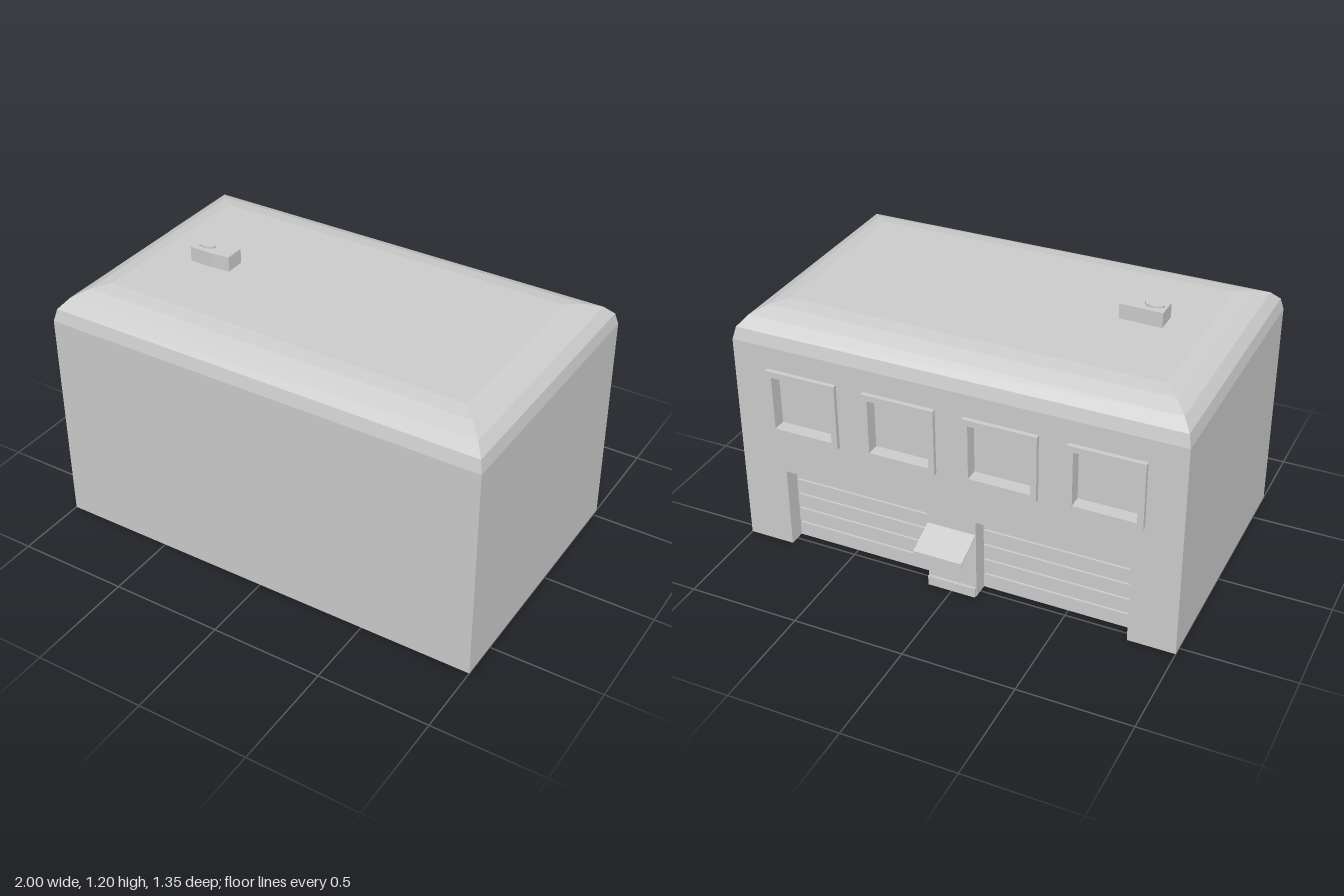
import * as THREE from 'three';

const WALL_H = 0.983, BACK = -0.54, FRONT = 0.675, FACADE_D = 0.085;
const WINDOWS = [-0.677, -0.226, 0.226, 0.677];
const WIN_W = 0.326, WIN_Y0 = 0.577, WIN_Y1 = 0.88, RIM = 0.027;
const DOOR_IN = 0.112, DOOR_OUT = 0.79, DOOR_H = 0.38;

const rect = (C, x0, y0, x1, y1) =>
  new C([[x0, y0], [x1, y0], [x1, y1], [x0, y1]].map(p => new THREE.Vector2(...p)));

export function createModel() {
  const group = new THREE.Group();
  const grey = new THREE.MeshStandardMaterial({ color: 0xcccccc });
  grey.name = 'plain grey';
  const add = (name, geometry) => {
    const mesh = new THREE.Mesh(geometry, grey);
    mesh.name = name;
    group.add(mesh);
    return mesh;
  };
  const box = (name, x0, x1, y0, y1, z0, z1) =>
    add(name, new THREE.BoxGeometry(x1 - x0, y1 - y0, z1 - z0))
      .position.set((x0 + x1) / 2, (y0 + y1) / 2, (z0 + z1) / 2);
  const extrude = (shape, depth) =>
    new THREE.ExtrudeGeometry(shape, { depth, bevelEnabled: false });

  // Main block behind the facade
  box('mainBlock', -1, 1, 0, WALL_H, BACK + FACADE_D, FRONT);

  // Facade with two door notches and four window openings
  const outline = [[-1, 0], [-DOOR_OUT, 0], [-DOOR_OUT, DOOR_H], [-DOOR_IN, DOOR_H], [-DOOR_IN, 0],
    [DOOR_IN, 0], [DOOR_IN, DOOR_H], [DOOR_OUT, DOOR_H], [DOOR_OUT, 0], [1, 0], [1, WALL_H], [-1, WALL_H]];
  const facade = new THREE.Shape(outline.map(p => new THREE.Vector2(...p)));
  const opening = x => rect(THREE.Path, x - WIN_W / 2 + RIM, WIN_Y0 + RIM, x + WIN_W / 2 - RIM, WIN_Y1 - RIM);
  WINDOWS.forEach(x => facade.holes.push(opening(x)));
  add('facade', extrude(facade, FACADE_D)).position.z = BACK;

  // Window frames and recessed panes
  for (const x of WINDOWS) {
    const frame = rect(THREE.Shape, x - WIN_W / 2, WIN_Y0, x + WIN_W / 2, WIN_Y1);
    frame.holes.push(opening(x));
    add('windowFrame', extrude(frame, 0.02)).position.z = BACK - 0.02;
    box('windowPane', x - WIN_W / 2 + RIM, x + WIN_W / 2 - RIM, WIN_Y0 + RIM, WIN_Y1 - RIM, BACK + 0.04, BACK + 0.048);
  }

  // Slatted garage doors, five panels each
  const pitch = DOOR_H / 5;
  for (const s of [-1, 1]) {
    const x = s * (DOOR_IN + DOOR_OUT) / 2, half = (DOOR_OUT - DOOR_IN) / 2;
    for (let i = 0; i < 5; i++) {
      box('garageDoorPanel', x - half, x + half, i * pitch, (i + 1) * pitch - (i < 4 ? 0.009 : 0),
        BACK + 0.075, BACK + FACADE_D);
    }
  }

  // Rounded roof from mitred rectangular rings: [x inset, z inset, height]
  const rings = [[0, 0, WALL_H], [0.013, 0.015, 1.037], [0.05, 0.059, 1.08], [0.107, 0.124, 1.109], [0.17, 0.193, 1.12]]
    .map(([dx, dz, y]) => [[-1 + dx, y, FRONT - dz], [1 - dx, y, FRONT - dz], [1 - dx, y, BACK + dz], [-1 + dx, y, BACK + dz]]);
  const pos = [];
  const quad = (a, b, c, d) => pos.push(...a, ...b, ...c, ...a, ...c, ...d);
  for (let i = 0; i < rings.length - 1; i++) {
    for (let j = 0; j < 4; j++) {
      const k = (j + 1) % 4;
      quad(rings[i][j], rings[i][k], rings[i + 1][k], rings[i + 1][j]);
    }
  }
  quad(...rings[rings.length - 1]);
  const roof = new THREE.BufferGeometry();
  roof.setAttribute('position', new THREE.Float32BufferAttribute(pos, 3));
  roof.computeVertexNormals();
  add('roof', roof);

  // Roof vent with a small oblong cap
  const ventPlan = new THREE.Shape([[-0.666, -0.155], [-0.56, -0.156], [-0.476, -0.148], [-0.476, -0.06], [-0.666, -0.054]]
    .map(p => new THREE.Vector2(...p)));
  const vent = add('roofVent', extrude(ventPlan, 0.077));
  vent.rotation.x = -Math.PI / 2;
  vent.position.y = 1.11;
  const cap = add('ventCap', new THREE.CylinderGeometry(1, 1, 0.012, 8).toNonIndexed());
  cap.scale.set(0.043, 1, 0.026);
  cap.position.set(-0.612, 1.189, 0.107);

  // Sloping awning over the middle entrance, with a front lip
  const awningSide = new THREE.Shape([[0.54, 0.317], [0.675, 0.26], [0.675, 0.237], [0.67, 0.237], [0.67, 0.258], [0.54, 0.313]]
    .map(p => new THREE.Vector2(...p)));
  const awning = add('awning', extrude(awningSide, 0.22));
  awning.rotation.y = Math.PI / 2;
  awning.position.x = -0.11;

  // Entrance step
  box('entranceStep', -0.11, 0.11, 0, 0.045, BACK - 0.012, BACK);

  return group;
}
